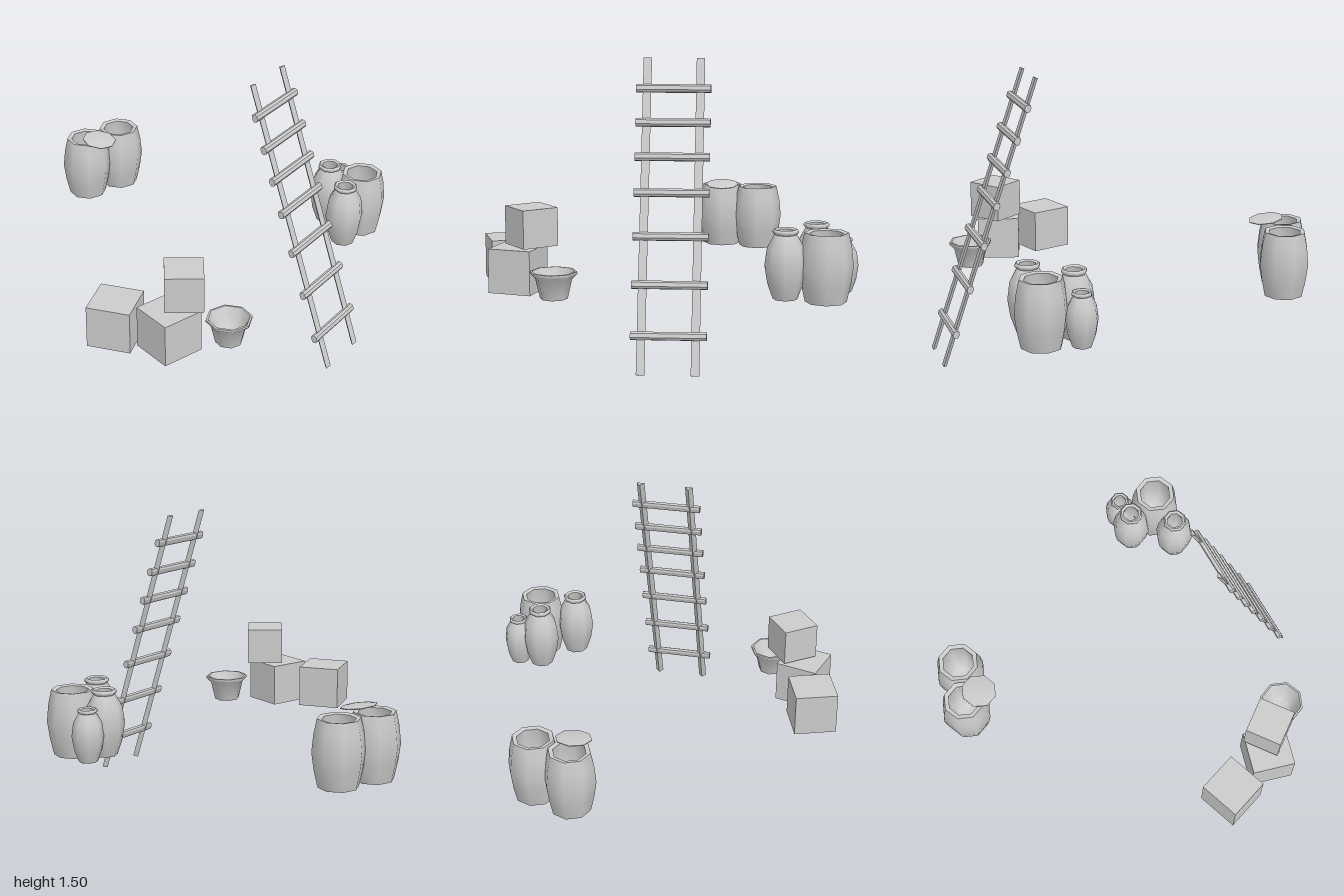
import * as THREE from 'three';
import { toCreasedNormals } from 'three/addons/utils/BufferGeometryUtils.js';

const mat = new THREE.MeshStandardMaterial({ color: 0xcccccc });

function add(parent, name, geometry, x, y, z) {
  const mesh = new THREE.Mesh(geometry, mat);
  mesh.name = name;
  mesh.position.set(x, y, z);
  parent.add(mesh);
  return mesh;
}

// Eight-sided turned shape from [radius, height] pairs, scaled
function turned(profile, r = 1, h = 1) {
  const pts = profile.map(([x, y]) => new THREE.Vector2(x * r, y * h));
  return toCreasedNormals(new THREE.LatheGeometry(pts, 8), 0.9);
}

// Prism from a cross-section, extruded along z
function prism(section, depth) {
  const shape = new THREE.Shape(section.map(([x, y]) => new THREE.Vector2(x, y)));
  return new THREE.ExtrudeGeometry(shape, { depth, bevelEnabled: false });
}

// Profiles run from the base centre, up the outside, and down into the hollow
const BARREL = [[0, 0], [0.104, 0], [0.124, 0.09], [0.136, 0.18], [0.127, 0.27], [0.11, 0.35],
  [0.086, 0.345], [0.096, 0.26], [0.09, 0.16], [0.06, 0.1], [0, 0.08]];
const JAR = [[0, 0], [0.062, 0], [0.09, 0.08], [0.104, 0.17], [0.092, 0.26], [0.056, 0.325],
  [0.065, 0.335], [0.065, 0.345], [0.057, 0.352], [0.043, 0.345], [0.046, 0.32],
  [0.07, 0.24], [0.06, 0.13], [0, 0.08]];
const POT = [[0, 0], [0.07, 0], [0.093, 0.1], [0.119, 0.126], [0.119, 0.138], [0.108, 0.139],
  [0.085, 0.095], [0.055, 0.04], [0, 0.025]];
const LID = [[0, 0], [0.06, 0.001], [0.095, 0.008], [0.095, 0.012], [0.06, 0.017], [0, 0.02]];

function createLadder() {
  const ladder = new THREE.Group();
  ladder.name = 'ladder';

  // Rails: flat in front, ridged behind
  const rail = prism([[-0.021, 0], [0.021, 0], [0, 0.02]], 1.575).rotateX(-Math.PI / 2);
  for (const side of [-1, 1]) add(ladder, side < 0 ? 'rightRail' : 'leftRail', rail, side * 0.1325, 0, 0);

  // Rungs with a bevelled front, closer together toward the top
  const section = [[-0.014, -0.01], [-0.004, -0.02], [0.012, -0.02], [0.018, -0.01],
    [0.018, 0.01], [0.012, 0.02], [-0.004, 0.02], [-0.014, 0.01]];
  const rung = prism(section, 0.372).rotateY(Math.PI / 2).translate(-0.186, 0, 0);
  const tilt = 0.33;
  for (const y of [0.18, 0.415, 0.64, 0.845, 1.015, 1.178, 1.342]) {
    add(ladder, 'rung', rung, 0, y / Math.cos(tilt), 0);
  }

  ladder.position.set(0.048, 0.007, 0.998);
  ladder.rotation.x = -tilt;
  return ladder;
}

export function createModel() {
  const model = new THREE.Group();
  model.name = 'ladderAndContainers';
  model.add(createLadder());

  // Crates: size, centre, turn
  for (const [name, s, x, y, z, turn] of [
    ['backCrate', 0.229, -0.842, 0.41, 0.188, 0.33],
    ['frontCrate', 0.229, -0.757, 0.41, 0.46, -0.27],
    ['topCrate', 0.197, -0.68, 0.64, 0.495, 0.64],
  ]) add(model, name, new THREE.BoxGeometry(s, s, s), x, y, z).rotation.y = turn;

  add(model, 'flaredPot', turned(POT), -0.544, 0.305, 0.676);

  // Wide open barrels-shaped jars
  const barrel = turned(BARREL);
  for (const [x, z] of [[0.812, 0.637], [0.451, -0.79], [0.243, -0.862]]) {
    add(model, 'wideJar', barrel, x, 0.3, z);
  }

  // Lid resting askew on the rear jar
  add(model, 'jarLid', turned(LID), 0.245, 0.652, -0.77).rotation.x = 0.15;

  // Necked jars, one of them smaller
  const jar = turned(JAR);
  add(model, 'neckedJar', jar, 0.61, 0.315, 0.65);
  add(model, 'neckedJar', jar, 0.766, 0.315, 0.457);
  add(model, 'smallNeckedJar', turned(JAR, 0.8, 0.79), 0.897, 0.312, 0.457);

  return model;
}
